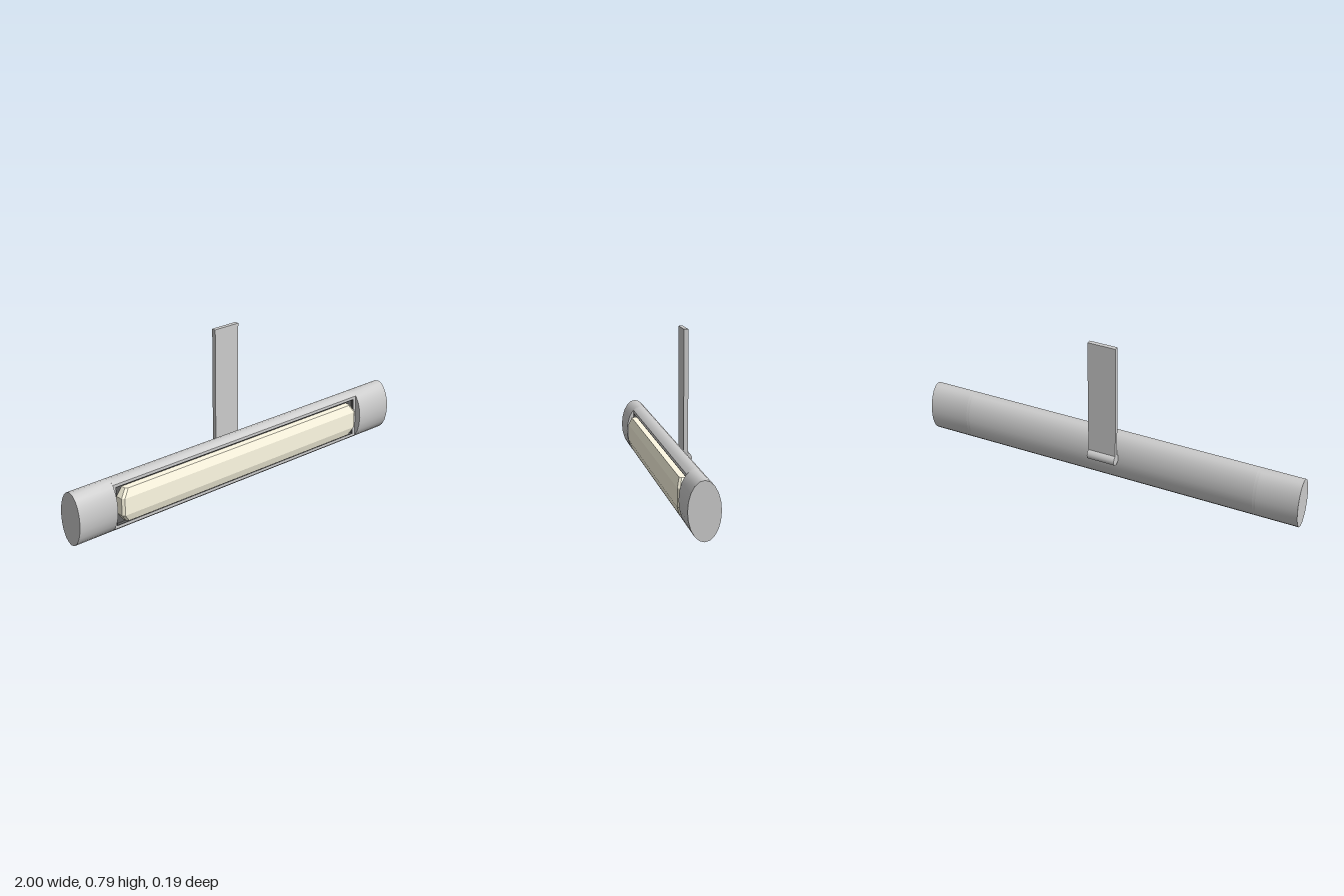
import * as THREE from 'three';
import { toCreasedNormals } from 'three/addons/utils/BufferGeometryUtils.js';
import { ConvexGeometry } from 'three/addons/geometries/ConvexGeometry.js';

const MID_Y = 0.1325, MID_Z = 0.025, RY = 0.1325, RZ = 0.073;
const RIM_H = 0.1125;   // half height of the window
const FLOOR_Z = 0.045;  // depth of the recess floor

export function createModel() {
  const group = new THREE.Group();
  const grey = new THREE.MeshStandardMaterial({ color: 0xcccccc });
  const dark = new THREE.MeshStandardMaterial({ color: 0x606060 });
  const cream = new THREE.MeshStandardMaterial({ color: 0xfffae4 });

  const add = (name, geometry, material, x = 0, y = 0, z = 0) => {
    const mesh = new THREE.Mesh(geometry, material);
    mesh.name = name;
    mesh.position.set(x, y, z);
    group.add(mesh);
    return mesh;
  };

  // Extrudes a [z, y] outline along x
  const extrudeX = (points, x0, x1) => {
    const shape = new THREE.Shape(points.map(([z, y]) => new THREE.Vector2(-z, y)));
    const geo = new THREE.ExtrudeGeometry(shape, { depth: x1 - x0, bevelEnabled: false });
    geo.rotateY(Math.PI / 2).translate(x0, 0, 0);
    return toCreasedNormals(geo, 0.65);
  };

  // Oval section of the housing, from angle a0 round the back to a1
  const oval = (a) => [MID_Z + RZ * Math.cos(a), MID_Y + RY * Math.sin(a)];
  const step = Math.PI / 10;
  const full = Array.from({ length: 20 }, (_, i) => oval(i * step));
  const rimA = Math.asin(RIM_H / RY);
  const cut = [oval(rimA)];
  for (let i = 4; i <= 16; i++) cut.push(oval(i * step));
  cut.push(oval(-rimA));

  // Middle section with the recess notched into the flat rim
  const rimZ = cut[0][0], notch = 0.1;
  const notched = [...cut,
    [rimZ, MID_Y - notch], [FLOOR_Z, MID_Y - notch],
    [FLOOR_Z, MID_Y + notch], [rimZ, MID_Y + notch]];

  add('housingMiddle', extrudeX(notched, -0.775, 0.775), grey);
  for (const [side, s] of [['left', 1], ['right', -1]]) {
    const span = (a, b) => (s > 0 ? [a, b] : [-b, -a]);
    add(side + 'WindowRim', extrudeX(cut, ...span(0.775, 0.79)), grey);
    add(side + 'HousingEnd', extrudeX(full, ...span(0.79, 1)), grey);
  }

  // Dark tray lining the recess: floor and thin walls
  const trayDepth = rimZ - FLOOR_Z;
  add('trayFloor', new THREE.BoxGeometry(1.55, 2 * notch, 0.004), dark, 0, MID_Y, FLOOR_Z + 0.002);
  for (const s of [1, -1]) {
    add('trayLongWall', new THREE.BoxGeometry(1.55, 0.004, trayDepth), dark,
      0, MID_Y + s * (notch - 0.002), FLOOR_Z + trayDepth / 2);
    add('trayEndWall', new THREE.BoxGeometry(0.004, 2 * notch, trayDepth), dark,
      s * 0.773, MID_Y, FLOOR_Z + trayDepth / 2);
  }

  // Faceted lens with clipped corners: rows of [y, front z, half length]
  const lensPoints = [];
  for (const [y, z, x] of [[0.05, 0.083, 0.73], [0.09, 0.096, 0.76],
    [0.175, 0.096, 0.76], [0.217, 0.083, 0.73]]) {
    for (const s of [1, -1]) {
      lensPoints.push(
        new THREE.Vector3(s * x, y, FLOOR_Z),
        new THREE.Vector3(s * x, y, z - 0.01),
        new THREE.Vector3(s * (x - 0.012), y, z));
    }
  }
  add('lens', new ConvexGeometry(lensPoints), cream);

  // Mounting arm and its hinge barrel behind the housing
  add('mountingArm', new THREE.BoxGeometry(0.146, 0.625, 0.022), grey, 0, 0.4725, -0.067);
  add('hingeBarrel', new THREE.CylinderGeometry(0.027, 0.027, 0.146, 20), grey, 0, 0.158, -0.07)
    .rotation.z = Math.PI / 2;

  return group;
}
